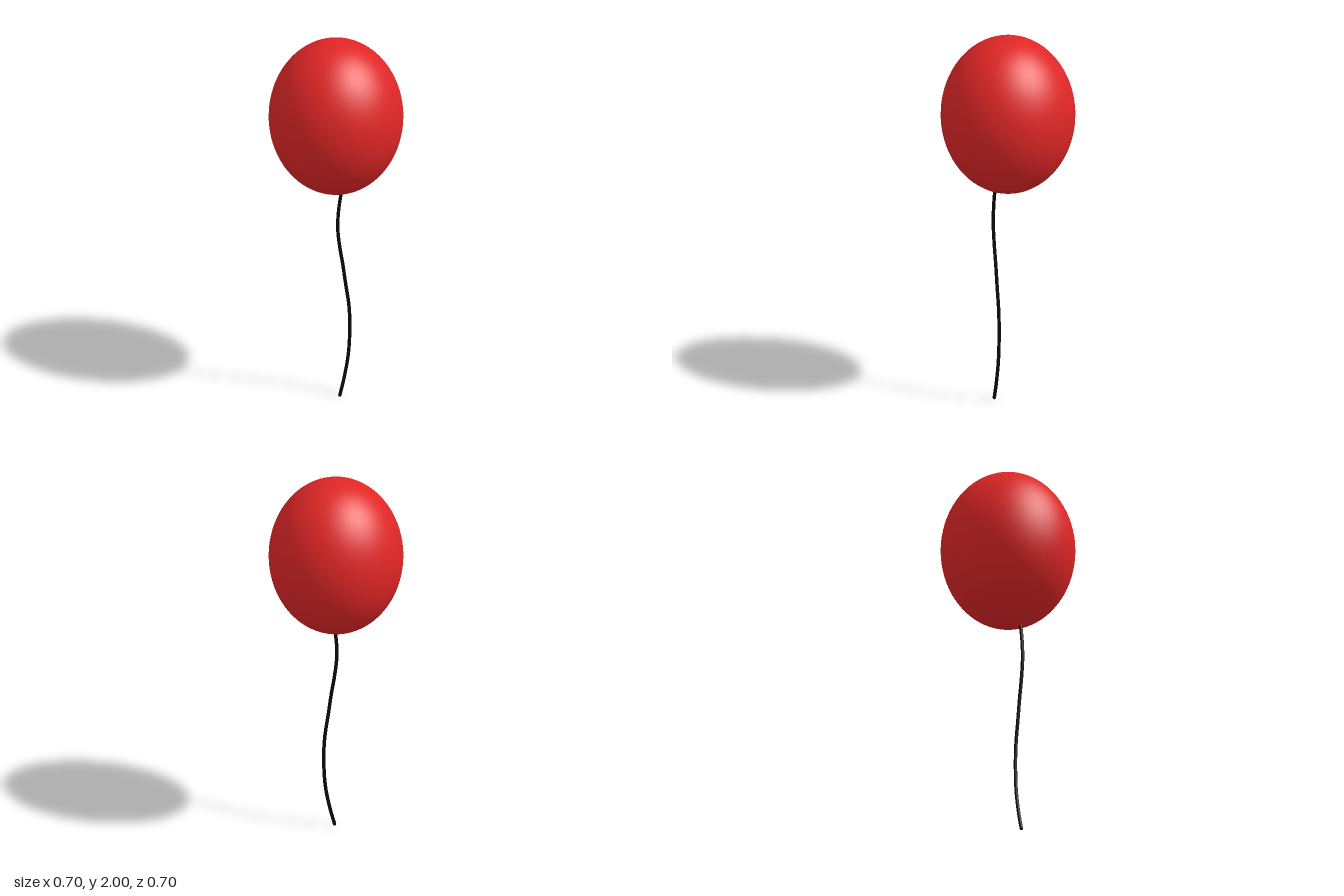
import * as THREE from 'three';

export function createModel() {
  const model = new THREE.Group();
  const red = new THREE.MeshStandardMaterial({ color: 0xe02626 });
  red.name = 'balloonRed';
  const black = new THREE.MeshStandardMaterial({ color: 0x0a0a0a });
  black.name = 'stringBlack';

  // Balloon: a sphere stretched upward
  const skin = new THREE.SphereGeometry(1, 64, 40);
  skin.scale(0.348, 0.42, 0.348);
  const balloon = new THREE.Mesh(skin, red);
  balloon.name = 'balloon';
  balloon.position.y = 1.58;
  model.add(balloon);

  // String: wavy cord hanging just in front of the centre
  const radius = 0.009;
  const points = [
    [-0.017, 0.009], [0.01, 0.11], [0.034, 0.24], [0.042, 0.39], [0.037, 0.51],
    [0.016, 0.65], [0, 0.76], [-0.016, 0.85], [-0.029, 0.96], [-0.026, 1.06],
    [-0.011, 1.16], [-0.003, 1.2],
  ].map(([x, y]) => new THREE.Vector3(x, y, 0.07));
  const string = new THREE.Group();
  string.name = 'string';
  const cord = new THREE.Mesh(
    new THREE.TubeGeometry(new THREE.CatmullRomCurve3(points), 80, radius, 10), black);
  cord.name = 'cord';

  // Rounded lower tip closes the cord
  const tip = new THREE.Mesh(new THREE.SphereGeometry(radius, 12, 8), black);
  tip.name = 'cordTip';
  tip.position.copy(points[0]);
  string.add(cord, tip);
  model.add(string);

  return model;
}
